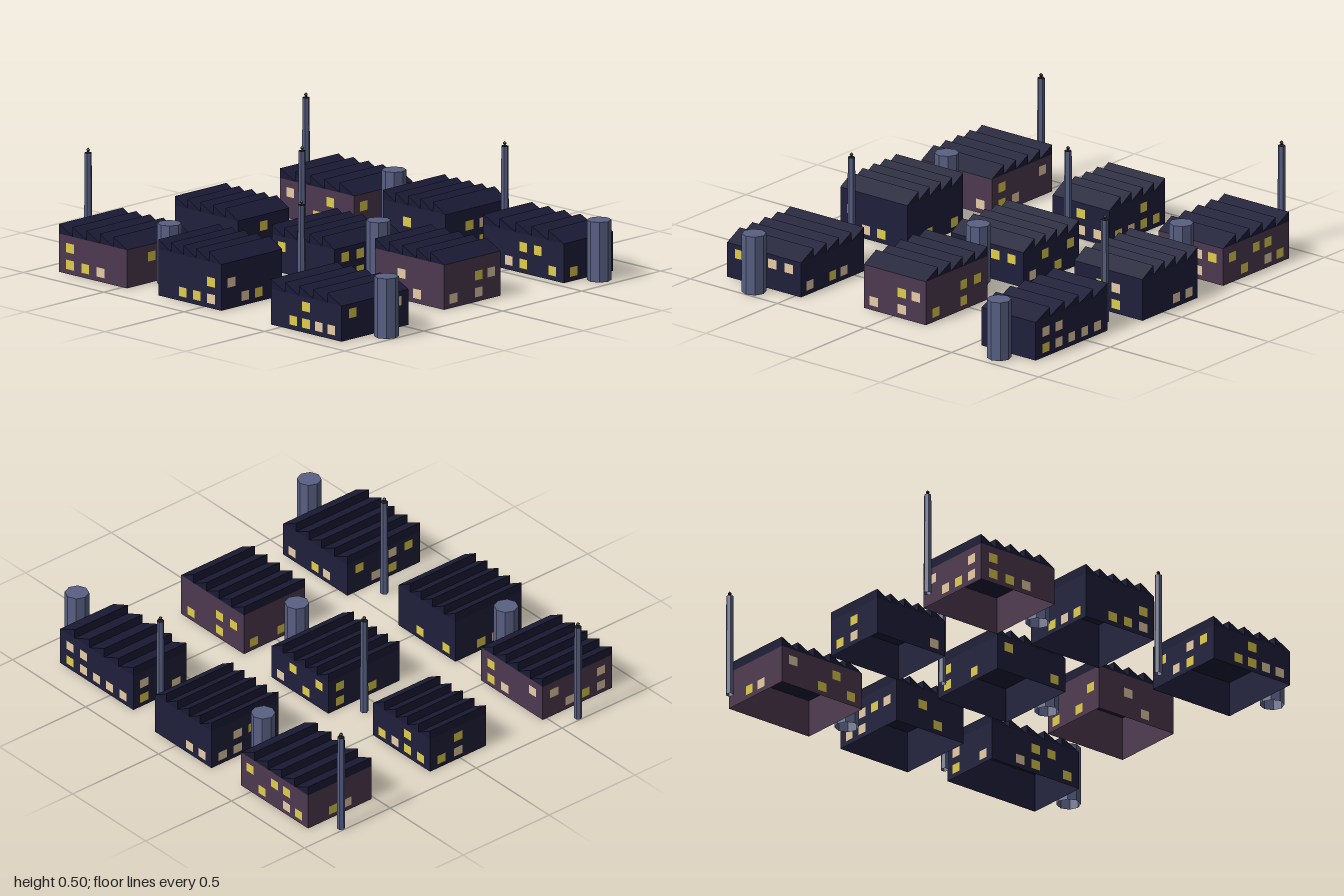
import * as THREE from 'three';

const mat = (name, color, side = THREE.FrontSide) => {
  const m = new THREE.MeshStandardMaterial({ color, flatShading: true, side });
  m.name = name;
  return m;
};
const navy = mat('navyWall', 0x1f1f3c, THREE.DoubleSide);
const mauve = mat('mauveWall', 0x4d394f, THREE.DoubleSide);
const roofDark = mat('roofDark', 0x1a1b36);
const steel = mat('steelBlue', 0x586083, THREE.DoubleSide);
const soot = mat('soot', 0x1c1c24);
const yellow = mat('yellowWindow', 0xe0cc4c);
const beige = mat('beigeWindow', 0xe6cca6);

// Halls: x0, x1, z0, z1, peak height, wall material, window patterns per side.
// Window rows are "upper/lower", read left to right facing that side.
const HALLS = [
  { box: [-0.89, -0.43, -0.885, -0.515], peak: 0.22, wall: mauve, front: 'B--Y-/--Y-Y', back: 'Y-YY-/-Y-BY' },
  { box: [-0.24, 0.147, -0.895, -0.505], peak: 0.24, wall: navy, right: '-YB-/-BY-' },
  { box: [0.343, 0.845, -0.855, -0.545], peak: 0.225, wall: navy, right: '---/Y--' },
  { box: [-0.89, -0.5, -0.175, 0.15], peak: 0.215, wall: navy },
  { box: [-0.24, 0.15, -0.215, 0.2], peak: 0.21, wall: navy },
  { box: [0.37, 0.8, -0.188, 0.168], peak: 0.25, wall: mauve, front: '-B--/--B-', right: '--YB/B-B-' },
  { box: [-0.895, -0.473, 0.477, 0.88], peak: 0.22, wall: mauve, front: 'Y---/YYB-' },
  { box: [-0.285, 0.106, 0.487, 0.872], peak: 0.257, wall: navy, front: '---Y/-YYB', right: 'B---/-BY-' },
  { box: [0.433, 0.873, 0.468, 0.892], peak: 0.208, wall: navy, front: '--Y--/-YYBB', right: 'Y-BB/----' },
];
const CHIMNEYS = [[-0.98, -0.77], [0.257, -0.77], [-0.327, -0.08], [-0.98, 0.61], [0.347, 0.61]];
const TANKS = [[-0.364, -0.7], [0.912, -0.7], [0.217, -0.01], [-0.405, 0.68], [0.944, 0.68]];
const TOOTH = 0.045;

let seed = 7;
const rand = () => (seed = (seed * 16807) % 2147483647) / 2147483647;

function add(parent, name, geometry, material, x = 0, y = 0, z = 0) {
  const mesh = new THREE.Mesh(geometry, material);
  mesh.name = name;
  mesh.position.set(x, y, z);
  parent.add(mesh);
  return mesh;
}

// Random lit-window pattern for a side with n columns
function litPattern(n) {
  const row = () => Array.from({ length: n }, () => {
    const r = rand();
    return r < 0.28 ? 'Y' : r < 0.46 ? 'B' : '-';
  }).join('');
  return row() + '/' + row();
}

// Flat panes just outside one wall; the side group faces its own +z
function windowSide(name, width, distance, angle, pattern) {
  const side = new THREE.Group();
  side.name = name;
  side.rotation.y = angle;
  const n = Math.floor(width / 0.088);
  (pattern || litPattern(n)).split('/').forEach((row, r) => {
    [...row].forEach((c, i) => {
      if (c === '-') return;
      const x = ((i + 0.5) / n - 0.5) * 0.9 * width;
      add(side, 'window', new THREE.PlaneGeometry(0.048, 0.043),
        c === 'Y' ? yellow : beige, x, r ? 0.043 : 0.12, distance + 0.0015);
    });
  });
  return side;
}

// Sawtooth roof: vertical faces towards -x, slopes falling towards +x
function sawtooth(w, d) {
  const shape = new THREE.Shape();
  const teeth = 5;
  shape.moveTo(-w / 2, 0);
  for (let i = 0; i < teeth; i++) {
    const x = -w / 2 + (w * i) / teeth;
    shape.lineTo(x, TOOTH);
    // small lift keeps neighbouring teeth joined
    shape.lineTo(x + w / teeth, i < teeth - 1 ? 0.001 : 0);
  }
  const g = new THREE.ExtrudeGeometry(shape, { depth: d, bevelEnabled: false });
  return g.translate(0, 0, -d / 2);
}

function createHall({ box: [x0, x1, z0, z1], peak, wall, front, right, back }) {
  const hall = new THREE.Group();
  hall.name = 'factoryHall';
  hall.position.set((x0 + x1) / 2, 0, (z0 + z1) / 2);
  const w = x1 - x0, d = z1 - z0, h = peak - TOOTH;

  // Four walls, open at the bottom
  const walls = new THREE.CylinderGeometry(Math.SQRT1_2, Math.SQRT1_2, 1, 4, 1, true);
  walls.rotateY(Math.PI / 4).scale(w, h, d);
  add(hall, 'walls', walls, wall, 0, h / 2, 0);
  add(hall, 'sawtoothRoof', sawtooth(w, d), roofDark, 0, h, 0);

  hall.add(
    windowSide('frontWindows', w, d / 2, 0, front),
    windowSide('sideWindows', d, w / 2, Math.PI / 2, right),
    windowSide('backWindows', w, d / 2, Math.PI, back),
    windowSide('sideWindows', d, w / 2, -Math.PI / 2),
  );
  return hall;
}

// Upright prism with a flat lid and an open foot
function lidded(bottomRadius, topRadius, height, sides) {
  const profile = [[bottomRadius, 0], [topRadius, height], [0, height]];
  return new THREE.LatheGeometry(profile.map(([x, y]) => new THREE.Vector2(x, y)), sides);
}

export function createModel() {
  const model = new THREE.Group();
  model.name = 'factoryDistrict';
  HALLS.forEach((hall) => model.add(createHall(hall)));

  // Slender hexagonal chimneys with a sooty top and tip
  for (const [x, z] of CHIMNEYS) {
    const chimney = new THREE.Group();
    chimney.name = 'chimney';
    chimney.position.set(x, 0, z);
    chimney.rotation.y = Math.PI / 2;
    add(chimney, 'shaft', lidded(0.019, 0.0165, 0.48, 6), steel);
    add(chimney, 'sootyTop', new THREE.CylinderGeometry(0.0165, 0.0165, 0.002, 6), soot, 0, 0.481, 0);
    add(chimney, 'tip', new THREE.OctahedronGeometry(0.011), soot, 0, 0.494, 0);
    model.add(chimney);
  }

  // Octagonal storage tanks
  for (const [x, z] of TANKS) {
    add(model, 'tank', lidded(0.055, 0.055, 0.275, 8), steel, x, 0, z);
  }
  return model;
}
